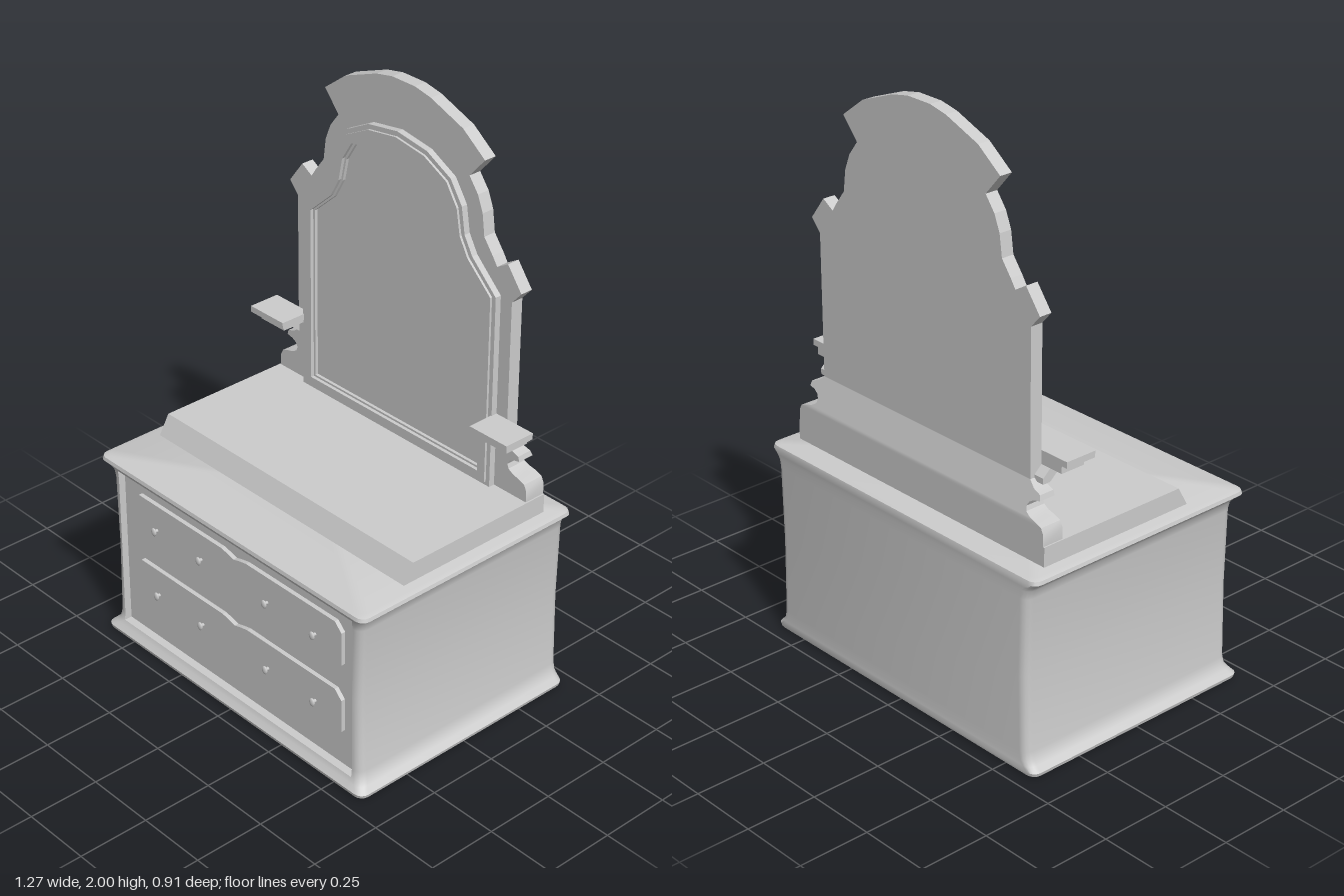
import * as THREE from 'three';
import { toCreasedNormals } from 'three/addons/utils/BufferGeometryUtils.js';

const material = new THREE.MeshStandardMaterial({ color: 0xcccccc });

function add(parent, name, geometry, x = 0, y = 0, z = 0) {
  const mesh = new THREE.Mesh(geometry, material);
  mesh.name = name;
  mesh.position.set(x, y, z);
  parent.add(mesh);
  return mesh;
}

// Skin over stacked loops of [x, y, z], listed bottom to top, with flat end caps
function loft(loops, crease = 0.8) {
  const n = loops[0].length, pos = [], index = [];
  loops.forEach(loop => loop.forEach(p => pos.push(...p)));
  for (let r = 0; r < loops.length - 1; r++) {
    for (let i = 0; i < n; i++) {
      const a = r * n + i, b = r * n + (i + 1) % n;
      index.push(a, b, b + n, a, b + n, a + n);
    }
  }
  [0, loops.length - 1].forEach(r => {
    const centre = pos.length / 3;
    pos.push(0, loops[r][0][1], 0);
    pos[pos.length - 1] = loops[r].reduce((s, p) => s + p[2], 0) / n;
    for (let i = 0; i < n; i++) {
      const a = r * n + i, b = r * n + (i + 1) % n;
      index.push(centre, r ? a : b, r ? b : a);
    }
  });
  const g = new THREE.BufferGeometry();
  g.setAttribute('position', new THREE.Float32BufferAttribute(pos, 3));
  g.setIndex(index);
  return toCreasedNormals(g, crease);
}

// Closed symmetric outline from its right half, which runs from bottom to top
function mirrored(half) {
  const left = half.filter(p => p[0] > 0).reverse().map(([x, y]) => [-x, y]);
  return [...half, ...left].map(([x, y]) => new THREE.Vector2(x, y));
}

function slab(outline, depth, hole) {
  const shape = new THREE.Shape(outline);
  if (hole) shape.holes.push(new THREE.Path(hole));
  return new THREE.ExtrudeGeometry(shape, { depth, bevelEnabled: false });
}

// Side profile of [z, y] extruded across x, centred on x = 0
function sideProfile(points, width) {
  const g = slab(points.map(([z, y]) => new THREE.Vector2(-z, y)), width);
  return g.rotateY(Math.PI / 2).translate(-width / 2, 0, 0);
}

// One level of the cabinet: rounded rectangle whose front panel may be set back
function cabinetLoop([y, hx, zf, zb, panelZ]) {
  const loop = [], r = 0.03, px = 0.565, pz = panelZ ?? zf;
  loop.push([-px, y, zf], [-px, y, pz], [px, y, pz], [px, y, zf]);
  const corner = (cx, cz, start) => {
    for (let i = 0; i <= 4; i++) {
      const a = start + i / 4 * Math.PI / 2;
      loop.push([cx + r * Math.sin(a), y, cz + r * Math.cos(a)]);
    }
  };
  corner(hx - r, zf - r, 0);
  corner(hx - r, zb + r, Math.PI / 2);
  corner(-hx + r, zb + r, Math.PI);
  corner(-hx + r, zf - r, Math.PI * 1.5);
  return loop;
}

function createCabinet() {
  const group = new THREE.Group();
  group.name = 'cabinet';
  const levels = [
    [0, 0.618, 0.437, -0.437], [0.006, 0.632, 0.452, -0.45], [0.018, 0.635, 0.455, -0.453],
    [0.035, 0.617, 0.442, -0.453], [0.05, 0.606, 0.433, -0.453], [0.05, 0.606, 0.433, -0.453, 0.405],
    [0.08, 0.6, 0.43, -0.453, 0.405], [0.345, 0.594, 0.43, -0.453, 0.405],
    [0.615, 0.6, 0.43, -0.453, 0.405], [0.645, 0.606, 0.433, -0.453, 0.405],
    [0.645, 0.606, 0.433, -0.453], [0.66, 0.617, 0.442, -0.453],
    [0.675, 0.635, 0.455, -0.453], [0.687, 0.632, 0.452, -0.45], [0.693, 0.618, 0.437, -0.437],
  ];
  add(group, 'cabinetBody', loft(levels.map(cabinetLoop)));

  // Drawer fronts with clipped corners and a pinched middle
  const drawer = mirrored([
    [0, -0.076], [0.03, -0.084], [0.06, -0.09], [0.475, -0.09], [0.505, -0.06],
    [0.505, 0.06], [0.475, 0.09], [0.06, 0.09], [0.03, 0.084], [0, 0.076],
  ]);
  for (const y of [0.245, 0.5]) {
    add(group, 'drawerFront', slab(drawer, 0.015), 0, y, 0.405);
    for (const x of [-0.385, -0.16, 0.16, 0.385]) {
      const stem = new THREE.CylinderGeometry(0.006, 0.006, 0.014, 10).rotateX(Math.PI / 2);
      add(group, 'knobStem', stem, x, y - 0.005, 0.426);
      const knob = new THREE.SphereGeometry(1, 12, 8).scale(0.012, 0.015, 0.006);
      add(group, 'knob', knob, x, y - 0.005, 0.434);
    }
  }
  return group;
}

function createMirror() {
  const group = new THREE.Group();
  group.name = 'mirror';

  // Upright board with stepped shoulders and a flared crest
  const board = mirrored([
    [0.487, 0.94], [0.487, 1.435], [0.525, 1.478], [0.465, 1.557], [0.42, 1.53], [0.4, 1.56],
    [0.362, 1.61], [0.352, 1.685], [0.33, 1.74], [0.292, 1.79], [0.355, 1.862], [0.26, 1.933],
    [0.12, 1.986], [0.05, 2], [0, 2],
  ]);
  add(group, 'backBoard', slab(board, 0.045), 0, 0, -0.335);

  // Scrolled foot of the board, thickening towards the bottom at the back
  const foot = [
    [0.58, 0.76], [0.58, 0.8], [0.57, 0.82], [0.545, 0.83], [0.52, 0.836], [0.5, 0.848], [0.495, 0.863],
    [0.503, 0.878], [0.52, 0.888], [0.545, 0.893], [0.54, 0.91], [0.51, 0.92], [0.487, 0.94],
  ];
  add(group, 'boardFoot', loft(foot.map(([x, y]) => {
    const zb = THREE.MathUtils.mapLinear(Math.max(y, 0.83), 0.83, 0.94, -0.368, -0.335);
    return [[-x, y, -0.29], [x, y, -0.29], [x, y, zb], [-x, y, zb]];
  }), 0.5));

  // Stepped frame: rings blended between the opening and the outer outline
  const inner = [
    [0.385, 0.81], [0.385, 1.425], [0.29, 1.51], [0.252, 1.58], [0.235, 1.66],
    [0.195, 1.725], [0.11, 1.765], [0, 1.78],
  ];
  const outer = [
    [0.44, 0.76], [0.44, 1.44], [0.335, 1.54], [0.3, 1.6], [0.285, 1.69],
    [0.235, 1.765], [0.13, 1.82], [0, 1.84],
  ];
  const ring = t => mirrored(inner.map((p, i) => p.map((v, k) => v + (outer[i][k] - v) * t)));
  add(group, 'outerFrame', slab(ring(1), 0.022, ring(0.2)), 0, 0, -0.29);
  add(group, 'innerFrame', slab(ring(0.72), 0.03, ring(0.14)), 0, 0, -0.29);
  add(group, 'frameLip', slab(ring(0.16), 0.018, ring(0)), 0, 0, -0.29);
  add(group, 'mirrorGlass', slab(ring(0.1), 0.007), 0, 0, -0.29);
  return group;
}

function createShelf(side) {
  const group = new THREE.Group();
  group.name = side > 0 ? 'leftShelf' : 'rightShelf';
  add(group, 'shelfTop', new THREE.BoxGeometry(0.16, 0.022, 0.115), side * 0.517, 1.011, -0.2325);
  add(group, 'shelfUnderside', new THREE.BoxGeometry(0.115, 0.025, 0.09), side * 0.517, 0.9875, -0.245);
  const bracket = sideProfile([
    [-0.255, 0.975], [-0.255, 0.96], [-0.29, 0.93], [-0.318, 0.93], [-0.318, 0.95], [-0.29, 0.975],
  ], 0.04);
  add(group, 'shelfBracket', bracket, side * 0.505, 0, 0);
  return group;
}

export function createModel() {
  const model = new THREE.Group();
  model.name = 'dressingTable';
  model.add(createCabinet());
  // Raised top with a sloping front edge
  add(model, 'raisedTop', sideProfile([[0.24, 0.69], [0.2, 0.76], [-0.368, 0.76], [-0.368, 0.69]], 1.17));
  model.add(createMirror(), createShelf(1), createShelf(-1));
  return model;
}
